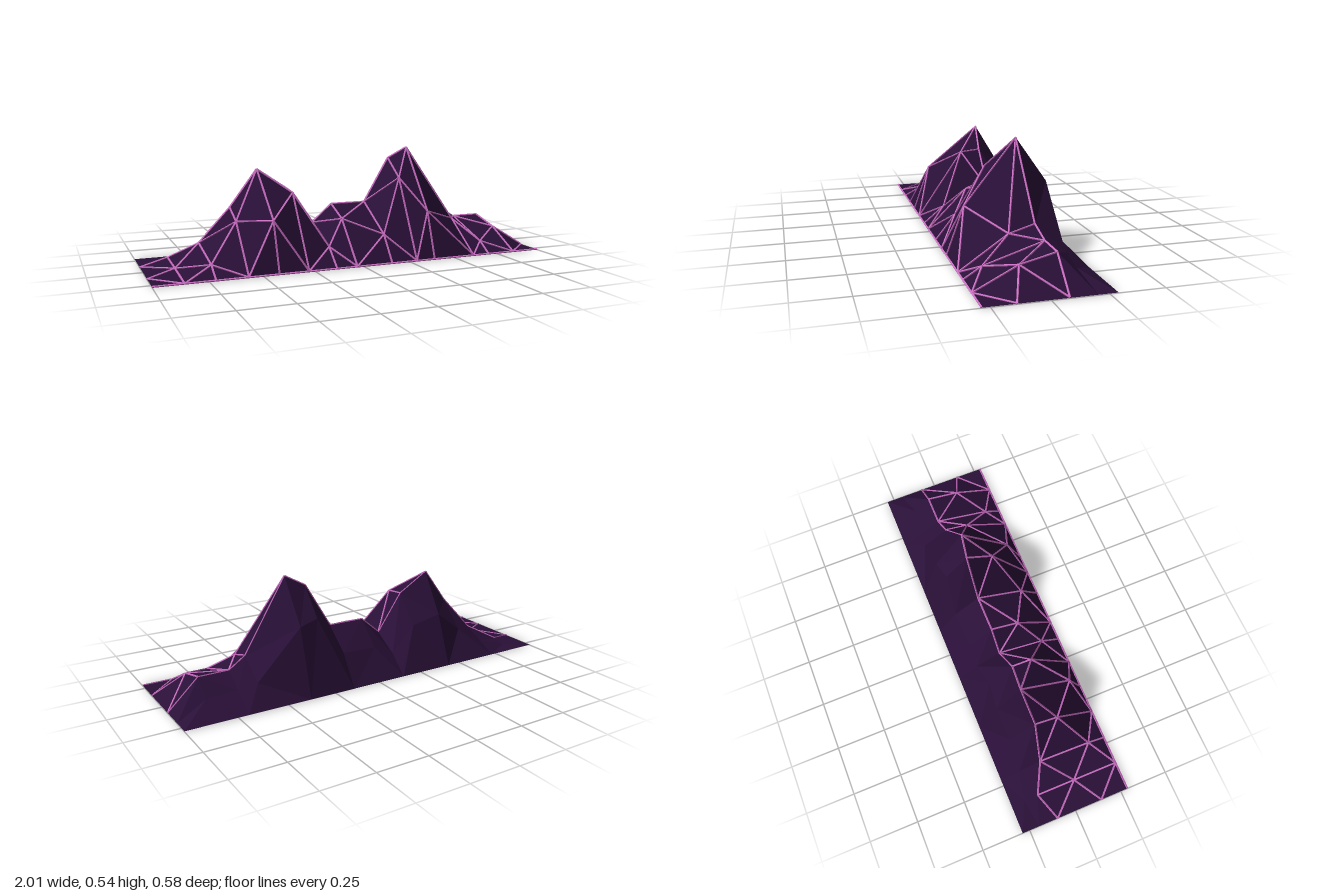
import * as THREE from 'three';
import { mergeGeometries } from 'three/addons/utils/BufferGeometryUtils.js';

const rock = new THREE.MeshStandardMaterial({ color: 0x2a1038, side: THREE.DoubleSide, flatShading: true });
rock.name = 'dark purple rock';
const neon = new THREE.MeshStandardMaterial({ color: 0xc86cc0 });
neon.name = 'pink edge lines';

// One entry per column: x, front slope y and z, ridge y and z, back slope y and z
const columns = [
  [-1.00, 0, 0.14, 0, -0.10, 0, -0.20],
  [-0.86, 0.015, 0.05, 0.025, -0.15, 0.01, -0.22],
  [-0.72, 0.05, 0.19, 0.10, -0.08, 0.05, -0.19],
  [-0.57, 0.22, 0.07, 0.27, -0.05, 0.14, -0.18],
  [-0.425, 0.235, 0.20, 0.45, -0.07, 0.25, -0.19],
  [-0.28, 0.34, 0.05, 0.35, -0.05, 0.21, -0.17],
  [-0.14, 0.085, 0.18, 0.165, -0.06, 0.09, -0.19],
  [-0.035, 0.20, 0.085, 0.255, -0.06, 0.14, -0.18],
  [0.15, 0.125, 0.185, 0.255, -0.06, 0.15, -0.19],
  [0.285, 0.39, 0.075, 0.48, -0.06, 0.345, -0.175],
  [0.385, 0.23, 0.20, 0.535, -0.045, 0.325, -0.193],
  [0.61, 0.155, 0.055, 0.19, -0.065, 0.10, -0.195],
  [0.70, 0.052, 0.20, 0.14, -0.08, 0.08, -0.18],
  [0.85, 0.10, 0.085, 0.14, -0.08, 0.065, -0.165],
  [1.00, 0, 0.14, 0, -0.08, 0, -0.20],
];

// Rows run front edge, front slope, ridge, back slope, back edge
const grid = columns.map(([x, fy, fz, ry, rz, by, bz]) => [
  [x, 0, 0.284], [x, fy, fz], [x, ry, rz], [x, by, bz], [x, 0, -0.288],
].map((p) => new THREE.Vector3(...p)));

function terrain() {
  const pos = [];
  const tri = (...pts) => pts.forEach((p) => pos.push(p.x, p.y, p.z));
  for (let i = 0; i < grid.length - 1; i++) {
    for (let j = 0; j < 4; j++) {
      const a = grid[i][j], b = grid[i + 1][j], c = grid[i + 1][j + 1], d = grid[i][j + 1];
      // Alternate the diagonals so slope points become hubs
      if (i % 2) { tri(a, b, c); tri(a, c, d); } else { tri(a, b, d); tri(b, c, d); }
    }
  }
  const g = new THREE.BufferGeometry();
  g.setAttribute('position', new THREE.Float32BufferAttribute(pos, 3));
  g.computeVertexNormals();
  return g;
}

// Thin square bar between two points, set just proud of the slope
function bar(a, b) {
  const dir = b.clone().sub(a);
  const g = new THREE.BoxGeometry(0.008, 0.005, dir.length());
  const m = new THREE.Matrix4().lookAt(b, a, new THREE.Vector3(0, 1, 0.5));
  g.applyMatrix4(m);
  const mid = a.clone().add(b).multiplyScalar(0.5);
  return g.translate(mid.x, mid.y + 0.002, mid.z + 0.002);
}

function edgeLines() {
  const bars = [];
  const last = grid.length - 1;
  for (let i = 0; i <= last; i++) {
    for (let j = 0; j < 3; j++) {
      // Lines up the slope
      if (j < 2 && i > 0 && i < last) bars.push(bar(grid[i][j], grid[i][j + 1]));
      if (i === last) continue;
      // Lines along the slope, then diagonals
      bars.push(bar(grid[i][j], grid[i + 1][j]));
      if (j < 2) bars.push(i % 2 ? bar(grid[i][j], grid[i + 1][j + 1]) : bar(grid[i + 1][j], grid[i][j + 1]));
    }
  }
  return mergeGeometries(bars);
}

export function createModel() {
  const model = new THREE.Group();
  model.name = 'mountainRange';
  const add = (name, geometry, material) => {
    const mesh = new THREE.Mesh(geometry, material);
    mesh.name = name;
    model.add(mesh);
  };
  add('mountains', terrain(), rock);
  add('edgeLines', edgeLines(), neon);
  return model;
}
